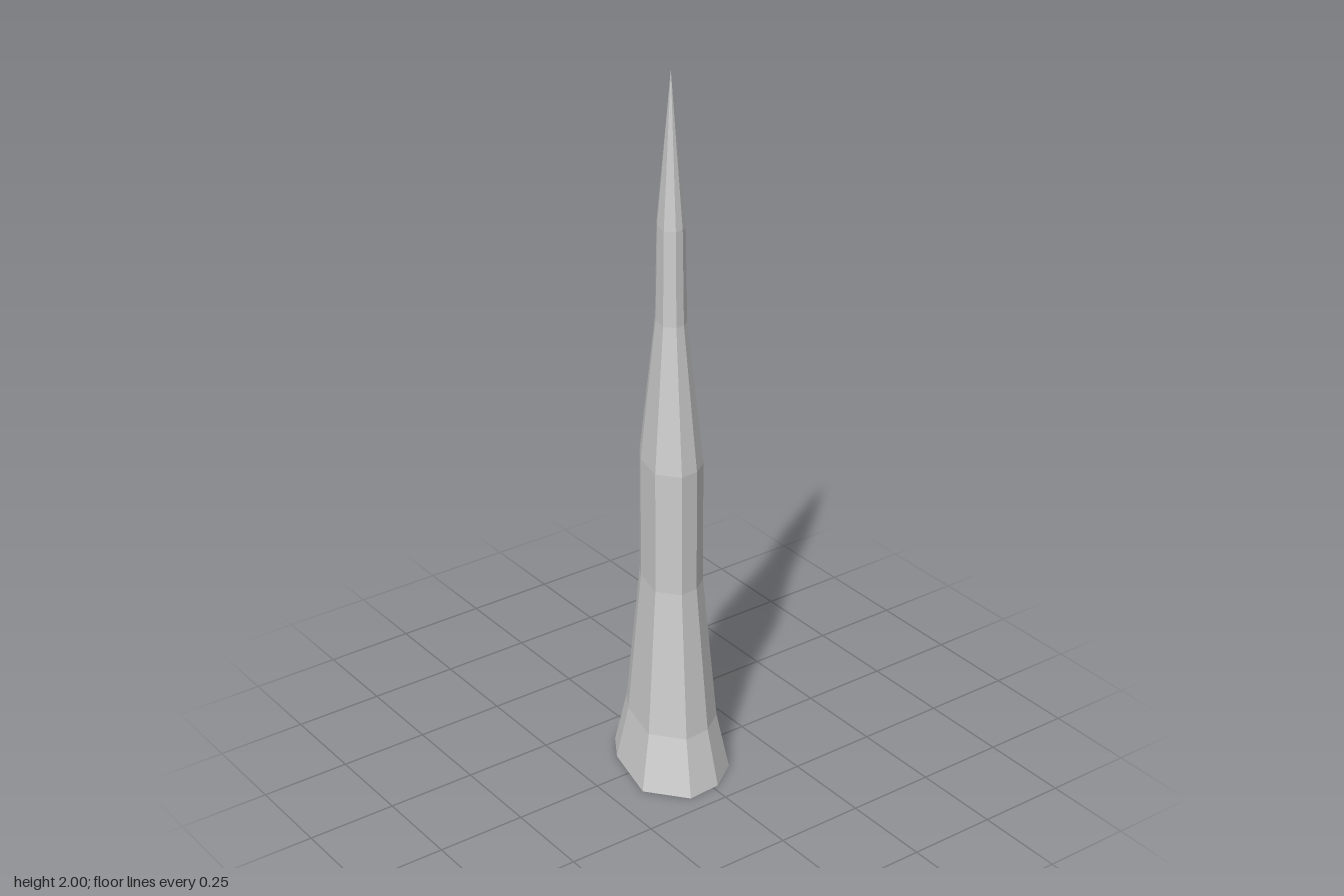
import * as THREE from 'three';

// Irregular nine-sided footprint [x, z], running from the front towards +x
const outline = [
  [0.017, 0.193], [0.10, 0.135], [0.165, -0.02], [0.127, -0.173], [0.021, -0.202],
  [-0.073, -0.165], [-0.122, -0.087], [-0.165, 0.095], [-0.08, 0.20],
];

// Rings up the spike: [height, scale of the footprint]
const rings = [[0, 1], [0.16, 0.78], [0.58, 0.535], [0.93, 0.53], [1.33, 0.26], [1.59, 0.232], [2, 0]];

function spikeGeometry() {
  const n = outline.length;
  const point = (ring, i) => {
    const [y, s] = rings[ring];
    const [x, z] = outline[i % n];
    return [x * s, y, z * s];
  };
  const positions = [];
  const triangle = (a, b, c) => positions.push(...a, ...b, ...c);

  for (let i = 0; i < n; i++) {
    // Side panels, closing to a point at the tip
    for (let r = 0; r < rings.length - 1; r++) {
      const a = point(r, i), b = point(r, i + 1);
      const c = point(r + 1, i + 1), d = point(r + 1, i);
      triangle(a, b, c);
      if (rings[r + 1][1] > 0) triangle(a, c, d);
    }
    // Underside
    triangle([0, 0, 0], point(0, i + 1), point(0, i));
  }

  const geometry = new THREE.BufferGeometry();
  geometry.setAttribute('position', new THREE.Float32BufferAttribute(positions, 3));
  geometry.computeVertexNormals();
  return geometry;
}

export function createModel() {
  const group = new THREE.Group();
  group.name = 'rockSpike';
  const material = new THREE.MeshStandardMaterial({ color: 0xcccccc, flatShading: true });
  const spike = new THREE.Mesh(spikeGeometry(), material);
  spike.name = 'spike';
  group.add(spike);
  return group;
}
